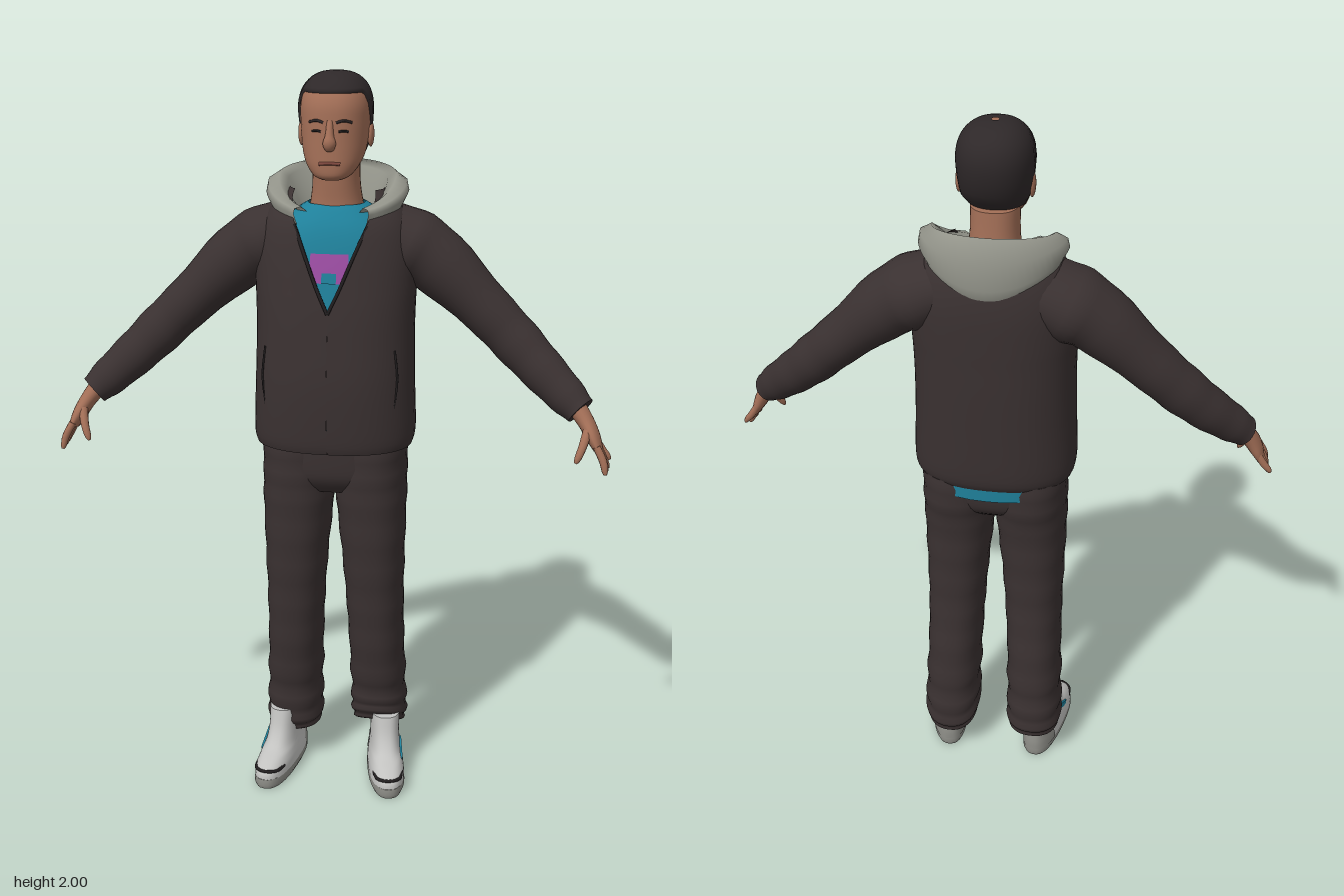
import * as THREE from 'three';

const mat = (name, color, side = THREE.FrontSide) => {
  const m = new THREE.MeshStandardMaterial({ color, side });
  m.name = name;
  return m;
};
const M = {
  cloth: mat('dark cloth', 0x3a3131, THREE.DoubleSide),
  skin: mat('skin', 0xa36f57),
  lips: mat('lips', 0x80493f),
  hair: mat('hair', 0x2e2829, THREE.DoubleSide),
  lining: mat('grey hood', 0x93948a, THREE.DoubleSide),
  teal: mat('teal', 0x1f809a, THREE.DoubleSide),
  pink: mat('pink print', 0x9c4da3, THREE.DoubleSide),
  shoe: mat('shoe white', 0xc2c2c0),
  sole: mat('shoe grey', 0x8e8e88, THREE.DoubleSide),
  trim: mat('black trim', 0x211e1f),
};
const V = (x, y, z) => new THREE.Vector3(x, y, z);
const TAU = Math.PI * 2;
const spow = (v, p) => Math.sign(v) * Math.abs(v) ** p;

// smooth interpolation between rows of numbers
function refine(rows, k = 4) {
  const out = [], at = i => rows[Math.min(Math.max(i, 0), rows.length - 1)];
  for (let i = 0; i < rows.length - 1; i++) for (let j = 0; j < k; j++) {
    const t = j / k;
    out.push(rows[i].map((b, c) => {
      const a = at(i - 1)[c], d = at(i + 1)[c], e = at(i + 2)[c];
      return b + 0.5 * t * (d - a + t * (2 * a - 5 * b + 4 * d - e + t * (3 * (b - d) + e - a)));
    }));
  }
  out.push(rows[rows.length - 1]);
  return out;
}

// surface through rings of points
function loft(name, material, rings, closed = true, caps = false) {
  if (caps) {
    const mid = r => r.map(() => r.reduce((s, p) => s.add(p), V(0, 0, 0)).divideScalar(r.length));
    const a = rings[0], b = rings[rings.length - 1];
    rings = [mid(a).map((p, i, l) => l[0].clone()), a, ...rings, b, mid(b)];
  }
  const n = rings[0].length, idx = [];
  for (let i = 0; i < rings.length - 1; i++) for (let j = 0; j < (closed ? n : n - 1); j++) {
    const k = (j + 1) % n, a = i * n + j, b = i * n + k;
    idx.push(a, b, b + n, a, b + n, a + n);
  }
  const g = new THREE.BufferGeometry().setFromPoints(rings.flat());
  g.setIndex(idx);
  g.computeVertexNormals();
  return add(name, g, material);
}
function add(name, g, material) {
  const m = new THREE.Mesh(g, material);
  m.name = name;
  return m;
}

// horizontal superellipse; a = 0 is the front
function ring(y, cx, rx, zf, zb, { n = 2.3, tilt = 0, from = 0, to = TAU, seg = 36 } = {}) {
  const open = to - from < TAU - 1e-6 || from > 0, pts = [];
  for (let i = 0; i < (open ? seg + 1 : seg); i++) {
    const a = from + (to - from) * i / seg;
    pts.push(V(cx + rx * spow(Math.sin(a), 2 / n), y + tilt * Math.cos(a),
      (zf + zb) / 2 + (zf - zb) / 2 * spow(Math.cos(a), 2 / n)));
  }
  return pts;
}

// limb along rows of [x, y, z, thickness, width along z]; s mirrors it
function limb(name, material, rows, s = 1, k = 4, folds = 0, seg = 20) {
  const r = refine(rows, k), c = r.map(p => V(p[0] * s, p[1], p[2]));
  const rings = r.map((p, i) => {
    const d = c[Math.min(i + 1, c.length - 1)].clone().sub(c[Math.max(i - 1, 0)]).normalize();
    const e2 = V(0, 0, 1).addScaledVector(d, -d.z).normalize(), e1 = e2.clone().cross(d);
    const f = 1 + folds * Math.sin(i * 1.6);
    return Array.from({ length: seg }, (_, j) => c[i].clone()
      .addScaledVector(e1, p[3] * f * Math.cos(j / seg * TAU))
      .addScaledVector(e2, p[4] * f * Math.sin(j / seg * TAU)));
  });
  return loft(name, material, rings, true, true);
}
const tube = (name, material, pts, r) =>
  add(name, new THREE.TubeGeometry(new THREE.CatmullRomCurve3(pts), 16, r, 6), material);
function ball(name, material, x, y, z, sx, sy, sz) {
  const m = add(name, new THREE.SphereGeometry(1, 16, 12), material);
  m.position.set(x, y, z);
  m.scale.set(sx, sy, sz);
  return m;
}

// head sections: y, half width, front z, back z
const HEAD = refine([[1.735, .028, .085, .03], [1.745, .048, .1, 0], [1.77, .068, .103, -.04],
  [1.8, .08, .102, -.08], [1.84, .086, .1, -.105], [1.88, .089, .098, -.118], [1.92, .089, .094, -.122],
  [1.955, .079, .078, -.112], [1.98, .057, .05, -.088], [1.992, .03, .015, -.055], [1.995, .002, -.018, -.022]]);
function headAt(y) {
  let i = 0;
  while (i < HEAD.length - 2 && HEAD[i + 1][0] < y) i++;
  const t = THREE.MathUtils.clamp((y - HEAD[i][0]) / (HEAD[i + 1][0] - HEAD[i][0]), 0, 1);
  return HEAD[i].map((v, c) => v + (HEAD[i + 1][c] - v) * t);
}
function facePoint(x, y, out = 0) {
  const [, rx, f, b] = headAt(y);
  return V(x, y, (f + b) / 2 + (f - b) / 2 * (1 - (Math.abs(x) / rx) ** 2.2) ** (1 / 2.2) + out);
}

function makeHead() {
  const g = new THREE.Group();
  g.name = 'head';
  g.add(loft('skull', M.skin, HEAD.map(([y, rx, f, b]) => ring(y, 0, rx, f, b, { n: 2.2 })), true, true));
  g.add(loft('neck', M.skin, refine([[1.6, .085, .05, -.12], [1.66, .07, .042, -.105], [1.72, .062, .045, -.095],
    [1.79, .062, .05, -.09]]).map(([y, rx, f, b]) => ring(y, 0, rx, f, b)), true, true));
  // short hair following the skull, with a sloping hairline
  const rows = [];
  for (let j = 0; j <= 16; j++) rows.push(Array.from({ length: 48 }, (_, i) => {
    const a = i / 48 * TAU, low = 1.95 - .16 * (1 - THREE.MathUtils.smoothstep(Math.cos(a), -.4, .5));
    const y = low + (1.995 - low) * (1 - (1 - j / 16) ** 2);
    const [, rx, f, b] = headAt(y), o = j ? .007 : .001;
    return V((rx + o) * spow(Math.sin(a), 2 / 2.2), y + .005 * j / 16,
      (f + b) / 2 + ((f - b) / 2 + o) * spow(Math.cos(a), 2 / 2.2));
  }));
  g.add(loft('hair', M.hair, rows));
  // face
  g.add(limb('nose', M.skin, [[0, 1.815, .098, .012, .012], [0, 1.83, .104, .017, .016], [0, 1.85, .1, .011, .013],
    [0, 1.885, .092, .008, .008]].map(([x, y, z, a, b]) => [x, y, z, a, b])));
  const line = (name, m, xs, y, bow, r) => tube(name, m, xs.map((x, i) => facePoint(x, y + (i === 1 ? bow : 0))), r);
  g.add(line('mouth', M.lips, [-.027, 0, .027], 1.778, .002, .0045));
  for (const s of [-1, 1]) {
    g.add(line('eyebrow', M.hair, [s * .016, s * .034, s * .054], 1.88, .005, .0035));
    g.add(line('eye', M.trim, [s * .022, s * .034, s * .046], 1.858, .002, .003));
    g.add(ball('ear', M.skin, s * .09, 1.842, -.018, .009, .033, .019));
  }
  return g;
}

function makeJacket() {
  const g = new THREE.Group();
  g.name = 'jacket';
  // y, half width, front, back, angle of the neck opening
  const body = refine([[1.02, .213, .155, -.16, 0], [1.06, .22, .162, -.174, 0], [1.2, .215, .165, -.18, 0],
    [1.32, .212, .154, -.184, 0], [1.4, .213, .144, -.185, 0], [1.46, .215, .133, -.186, .09], [1.55, .213, .115, -.185, .24],
    [1.62, .195, .095, -.175, .42], [1.67, .16, .06, -.155, .66], [1.7, .125, .03, -.13, .95]]);
  g.add(loft('jacketBody', M.cloth, body.map(([y, rx, f, b, gap]) => {
    const a = Math.max(gap, 1e-4);
    return ring(y, 0, rx, f, b, { n: 2.4, from: a, to: TAU - a, seg: 56 });
  }), false));
  for (const s of [-1, 1]) {
    g.add(limb('sleeve', M.cloth, [[.1, 1.59, -.05, .08, .1], [.19, 1.552, -.055, .096, .113], [.27, 1.505, -.05, .088, .095],
      [.4, 1.387, -.035, .069, .075], [.48, 1.31, -.018, .066, .066], [.55, 1.243, .008, .06, .06],
      [.62, 1.18, .042, .052, .05], [.66, 1.145, .063, .041, .043]], s, 4, .02, 28));
    g.add(tube('zipper', M.trim, [V(0, 1.4, .146), V(s * .028, 1.46, .135), V(s * .065, 1.55, .112),
      V(s * .095, 1.62, .08)], .005));
    g.add(tube('pocketSeam', M.trim, [V(s * .172, 1.14, .11), V(s * .18, 1.22, .105), V(s * .172, 1.3, .102)], .003));
  }
  // folded hood swept around the neck, open at the front
  const N = 48, hood = [[], [], [], [], [], []];
  for (let i = 0; i <= N; i++) {
    const p = (i / N * 2 - 1) * 2.6, c = Math.cos(p), back = Math.max(0, c), front = Math.max(0, -c);
    const low = 1.665 - .065 * back ** 2 - .055 * front, top = 1.735 + .025 * back - .085 * front;
    const prof = [[.98, low], [1.06, low + .03], [1.03, (low + top) / 2 + .02], [.87, top], [.74, top - .015], [.55, top - .1]];
    prof.forEach(([k, y], j) => hood[j].push(V(.178 * k * Math.sin(p), y, -.045 - .138 * k * c)));
  }
  g.add(loft('hood', M.lining, hood, false));
  return g;
}

function makeShirt() {
  const g = new THREE.Group();
  g.name = 'shirt';
  const rows = refine([[1.36, .2, .136, -.16], [1.45, .2, .122, -.16], [1.55, .19, .103, -.16],
    [1.61, .15, .083, -.14], [1.65, .1, .056, -.115], [1.665, .075, .04, -.1]]);
  g.add(loft('shirtFront', M.teal, rows.map(([y, rx, f, b]) => ring(y, 0, rx, f, b, { n: 2.4 }))));
  g.add(loft('shirtHem', M.teal, [[1.005, .197, .125, -.16], [1.06, .2, .13, -.16]]
    .map(([y, rx, f, b]) => ring(y, 0, rx, f, b, { n: 2.4, tilt: .02 }))));
  // printed band with a notch
  const patch = (name, m, y0, y1, w, o) => g.add(loft(name, m, rows.filter(r => r[0] > y0 && r[0] < y1)
    .map(([y, rx, f, b]) => ring(y, 0, rx, f + o, b, { n: 2.4, from: -w, to: w, seg: 12 })), false));
  patch('printBand', M.pink, 1.47, 1.552, .2, .003);
  patch('printNotch', M.teal, 1.47, 1.526, .06, .005);
  return g;
}

function makeTrousers() {
  const g = new THREE.Group();
  g.name = 'trousers';
  g.add(loft('hips', M.cloth, refine([[.89, .14, .09, -.09], [.93, .19, .118, -.132], [.98, .199, .125, -.145],
    [1.06, .198, .125, -.148]]).map(([y, rx, f, b]) => ring(y, 0, rx, f, b, { n: 2.5 })), true, true));
  for (const s of [-1, 1]) {
    const t = s > 0 ? .035 : 0;
    const rows = refine([[.11 + t / 2, .125, .07, .025, -.135, t], [.15 + t / 2, .125, .08, .045, -.15, t],
      [.25, .123, .078, .055, -.148, t / 3], [.4, .118, .078, .08, -.14, 0], [.55, .113, .081, .095, -.126, 0],
      [.7, .108, .088, .11, -.125, 0], [.85, .102, .097, .12, -.132, 0], [.95, .1, .099, .125, -.15, 0], [1.03, .1, .098, .124, -.15, 0]], 5);
    g.add(loft('trouserLeg', M.cloth, rows.map(([y, cx, rx, f, b, tilt], i) => {
      const w = Math.sin(i * 1.7) * (y < .35 ? .004 : .0015);
      return ring(y, s * cx, rx + w, f + w, b - w, { tilt });
    }), true, true));
  }
  return g;
}

function makeShoe(s) {
  const g = new THREE.Group();
  g.name = s > 0 ? 'leftShoe' : 'rightShoe';
  const R = o => ([y, rx, f, b]) => ring(y, 0, rx, f, b, o);
  g.add(loft('sole', M.sole, [[0, .048, .148, -.145], [.012, .053, .153, -.15], [.03, .051, .151, -.149]].map(R({ n: 2.5 })), true, true));
  const upper = refine([[.028, .052, .15, -.148], [.05, .05, .143, -.148], [.07, .046, .11, -.146], [.09, .043, .065, -.143],
    [.13, .041, .035, -.135], [.185, .042, .018, -.125]]);
  g.add(loft('shoeUpper', M.shoe, upper.map(R({ n: 2.5 })), true, true));
  g.add(loft('heelPatch', M.sole, upper.filter(r => r[0] < .085).map(([y, rx, f, b]) =>
    ring(y, 0, rx + .002, f, b - .002, { n: 2.5, from: 2, to: TAU - 2, seg: 20 })), false));
  g.add(tube('toeTrim', M.trim, [V(-.04, .05, .085), V(-.03, .05, .125), V(0, .052, .141), V(.03, .05, .125), V(.04, .05, .085)], .005));
  const stripe = add('sideStripe', new THREE.BoxGeometry(.006, .016, .075), M.teal);
  stripe.position.set(s * .043, .082, .012);
  stripe.rotation.x = .5;
  g.add(stripe);
  g.position.set(s * .155, 0, .038);
  g.rotation.y = s * .18;
  return g;
}

function makeHand(s) {
  const g = new THREE.Group();
  g.name = s > 0 ? 'leftHand' : 'rightHand';
  g.add(limb('palm', M.skin, [[.645, 1.16, .06, .026, .03], [.675, 1.12, .077, .022, .033], [.695, 1.085, .092, .019, .042],
    [.71, 1.055, .1, .013, .042]], s));
  for (let i = 0; i < 4; i++) {
    const z = .066 + .022 * i, e = i === 0 ? .015 : 0;
    g.add(limb('finger', M.skin, [[.704, 1.07, z, .01, .011], [.722, 1.035 + e / 2, z + .003 * i, .01, .0105],
      [.737 - .003 * i, 1.01 + e, z + .005 * i, .008, .008], [.742 - .004 * i, 1 + e, z + .006 * i, .004, .004]], s, 3, 0, 10));
  }
  g.add(limb('thumb', M.skin, [[.68, 1.105, .108, .013, .014], [.668, 1.07, .138, .011, .011],
    [.657, 1.042, .151, .009, .009], [.652, 1.03, .155, .004, .004]], s, 3, 0, 10));
  return g;
}

export function createModel() {
  const model = new THREE.Group();
  model.name = 'standingMan';
  model.add(makeHead(), makeJacket(), makeShirt(), makeTrousers());
  for (const s of [-1, 1]) model.add(makeShoe(s), makeHand(s));
  return model;
}
